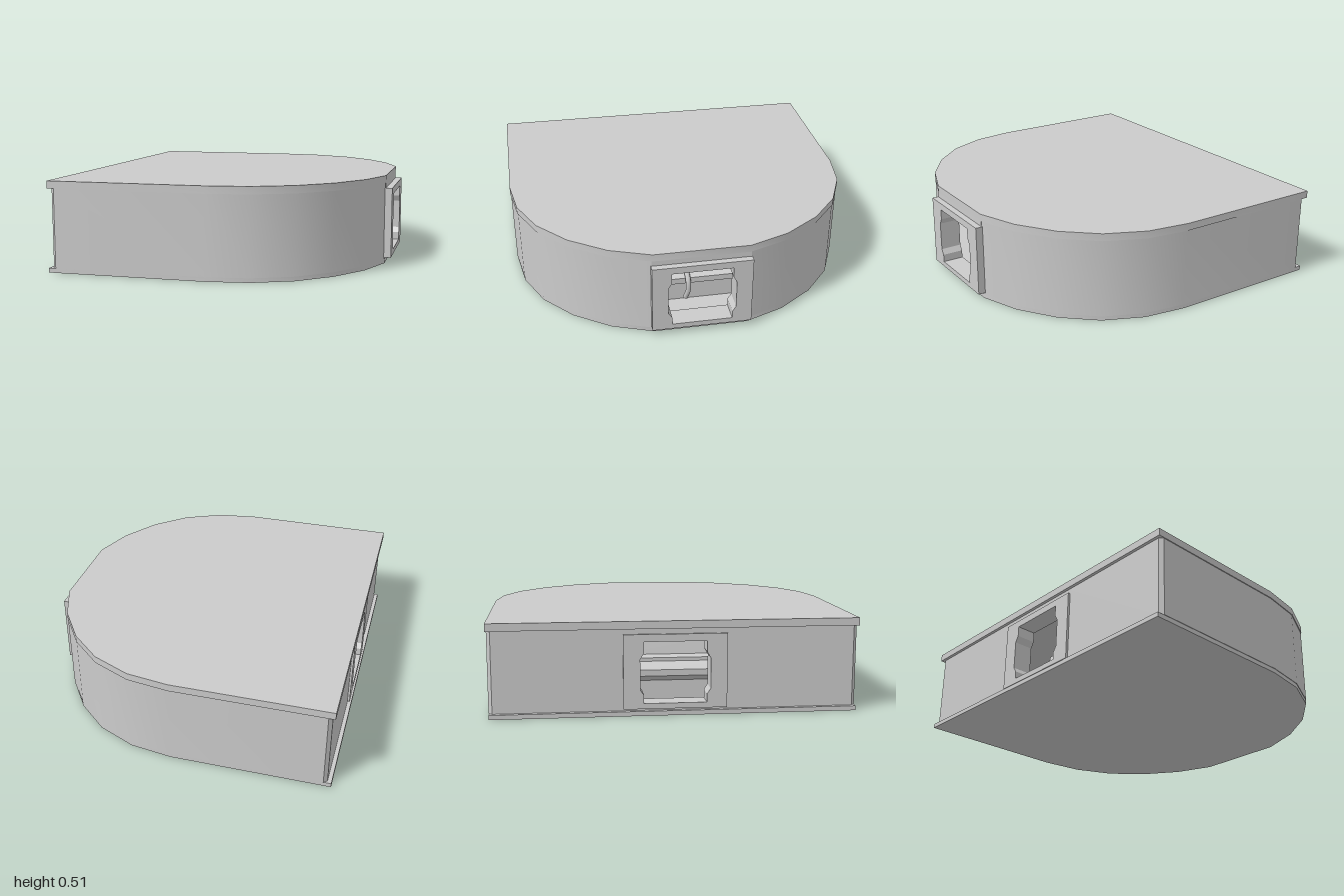
import * as THREE from 'three';
import { toCreasedNormals } from 'three/addons/utils/BufferGeometryUtils.js';

const grey = new THREE.MeshStandardMaterial({ color: 0xcccccc });

// Faceted bow of the D-shaped plan, as [x, z] on the +z side
const BOW = [[0.865, 0.27], [0.78, 0.5], [0.64, 0.705], [0.46, 0.865], [0.24, 0.965], [0, 1]];
const flip = (pts) => pts.map(([x, z]) => [x, -z]);
const toShape = (pts) => new THREE.Shape(pts.map(([a, b]) => new THREE.Vector2(a, b)));

// Extrude a plan outline [x, z] between two heights
function slab(name, pts, y0, y1) {
  const geo = new THREE.ExtrudeGeometry(toShape(pts), { depth: y1 - y0, bevelEnabled: false });
  geo.rotateX(Math.PI / 2).translate(0, y1, 0);
  const mesh = new THREE.Mesh(toCreasedNormals(geo, 0.5), grey);
  mesh.name = name;
  return mesh;
}

function box(name, x0, x1, y0, y1, halfZ) {
  const mesh = new THREE.Mesh(new THREE.BoxGeometry(x1 - x0, y1 - y0, halfZ * 2), grey);
  mesh.position.set((x0 + x1) / 2, (y0 + y1) / 2, 0);
  mesh.name = name;
  return mesh;
}

// Complete D outline with a straight back edge
function plan(backX, scale) {
  const half = [...BOW, [backX, 1]].map(([x, z]) => [x, z * scale]);
  return [...half, ...flip(half).reverse()];
}

// Socket frame with a notched opening, from x0 to x1
function socket(name, x0, x1) {
  const shape = toShape([[-0.28, 0.035], [0.28, 0.035], [0.28, 0.44], [-0.28, 0.44]]);
  const side = [[0.17, 0.065], [0.17, 0.11], [0.19, 0.14], [0.19, 0.305], [0.17, 0.34], [0.17, 0.4]];
  const left = side.map(([z, y]) => [-z, y]).reverse();
  shape.holes.push(toShape([...side, ...left]));
  const geo = new THREE.ExtrudeGeometry(shape, { depth: x1 - x0, bevelEnabled: false });
  geo.rotateY(Math.PI / 2).translate(x0, 0, 0);
  const mesh = new THREE.Mesh(toCreasedNormals(geo, 0.35), grey);
  mesh.name = name;
  return mesh;
}

export function createModel() {
  const group = new THREE.Group();
  group.name = 'housing';

  // Lid and base, overhanging the recessed back wall
  group.add(slab('lid', plan(-0.897, 1), 0.47, 0.512));
  group.add(slab('base', plan(-0.903, 0.992), 0, 0.025));

  // Two mirrored hollow wall halves, leaving a gap for the sockets
  const outer = [...BOW.map(([x, z]) => [x, z * 0.995]), [-0.86, 0.995], [-0.88, 0.975], [-0.88, 0.27]];
  const inner = [[-0.85, 0.27], [-0.85, 0.965], ...BOW.slice(1).reverse().map(([x, z]) => [x * 0.965, z * 0.965]), [0.835, 0.27]];
  const half = [...outer, ...inner];
  group.add(slab('leftWall', half, 0.025, 0.47));
  group.add(slab('rightWall', flip(half), 0.025, 0.47));

  // Sockets through both ends, with sills and lintels
  group.add(socket('bowSocket', 0.78, 0.902));
  group.add(socket('backSocket', -0.893, -0.78));
  for (const [name, x0, x1] of [['bow', 0.835, 0.865], ['back', -0.88, -0.85]]) {
    group.add(box(name + 'Sill', x0, x1, 0.025, 0.036, 0.275));
    group.add(box(name + 'Lintel', x0, x1, 0.439, 0.47, 0.275));
  }

  // Ribbed inner block, below the slot that runs right through
  const ribs = [[0.62, 0.025], [0.62, 0.13], [0.67, 0.165], [0.67, 0.2], [0.63, 0.23],
    [0.6, 0.235], [0.6, 0.255], [0.57, 0.27], [0.55, 0.37]];
  const profile = [...ribs, ...ribs.map(([x, y]) => [-x, y]).reverse()];
  const blockGeo = new THREE.ExtrudeGeometry(toShape(profile), { depth: 0.6, bevelEnabled: false });
  const block = new THREE.Mesh(toCreasedNormals(blockGeo.translate(0, 0, -0.3), 0.3), grey);
  block.name = 'ribbedBlock';
  group.add(block);

  // Short cord hanging inside the bow socket, with its eyelet
  const path = new THREE.CatmullRomCurve3([
    new THREE.Vector3(0.66, 0.24, 0.045), new THREE.Vector3(0.69, 0.19, 0.04),
    new THREE.Vector3(0.69, 0.13, 0.04), new THREE.Vector3(0.67, 0.07, 0.052),
  ]);
  const cord = new THREE.Mesh(new THREE.TubeGeometry(path, 20, 0.015, 8), grey);
  cord.name = 'cord';
  const eyelet = new THREE.Mesh(new THREE.TorusGeometry(0.012, 0.004, 6, 12), grey);
  eyelet.name = 'cordEyelet';
  eyelet.rotation.y = Math.PI / 2;
  eyelet.position.set(0.65, 0.255, 0.042);
  group.add(cord, eyelet);

  return group;
}
